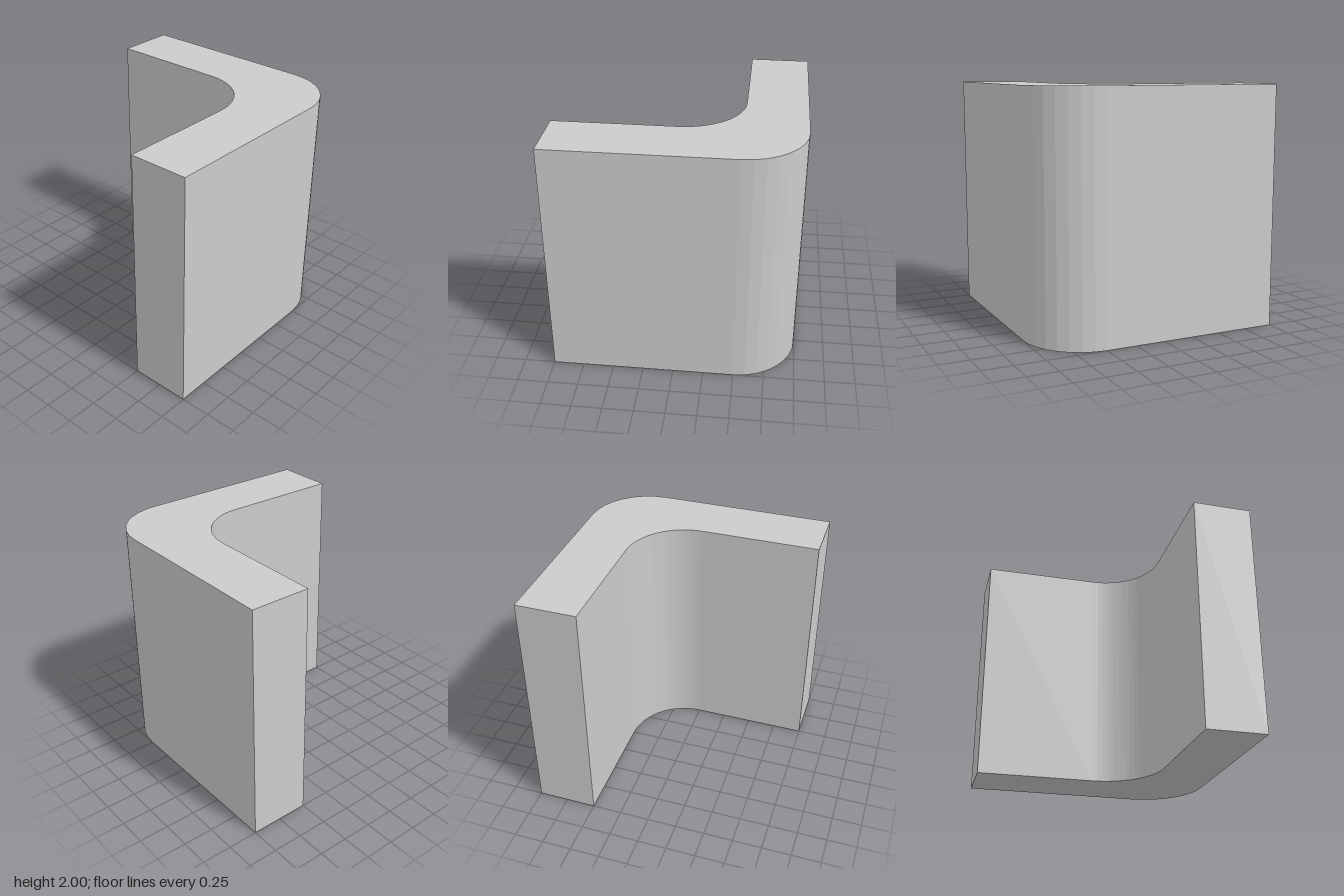
import * as THREE from 'three';

// Quarter-circle points from angle a0 to a1
function arc(cx, cy, r, a0, a1, segments) {
  const points = [];
  for (let i = 0; i <= segments; i++) {
    const a = a0 + (a1 - a0) * i / segments;
    points.push(new THREE.Vector2(cx + r * Math.cos(a), cy + r * Math.sin(a)));
  }
  return points;
}

export function createModel() {
  const group = new THREE.Group();
  group.name = 'roundedCornerWall';

  // L-shaped plan (x, -z) with a rounded inner and outer corner
  const plan = new THREE.Shape([
    new THREE.Vector2(-1, 1),
    new THREE.Vector2(-1, 0.5),
    ...arc(0, 0, 0.5, Math.PI / 2, 0, 16),
    new THREE.Vector2(0.5, -1),
    new THREE.Vector2(1, -1),
    ...arc(0.5, 0.5, 0.5, 0, Math.PI / 2, 8),
  ]);

  // Raise the plan to full height
  const geometry = new THREE.ExtrudeGeometry(plan, { depth: 2, bevelEnabled: false });
  geometry.rotateX(-Math.PI / 2);

  const wall = new THREE.Mesh(
    geometry,
    new THREE.MeshStandardMaterial({ color: 0xcccccc, flatShading: true })
  );
  wall.name = 'cornerWall';
  group.add(wall);
  return group;
}
